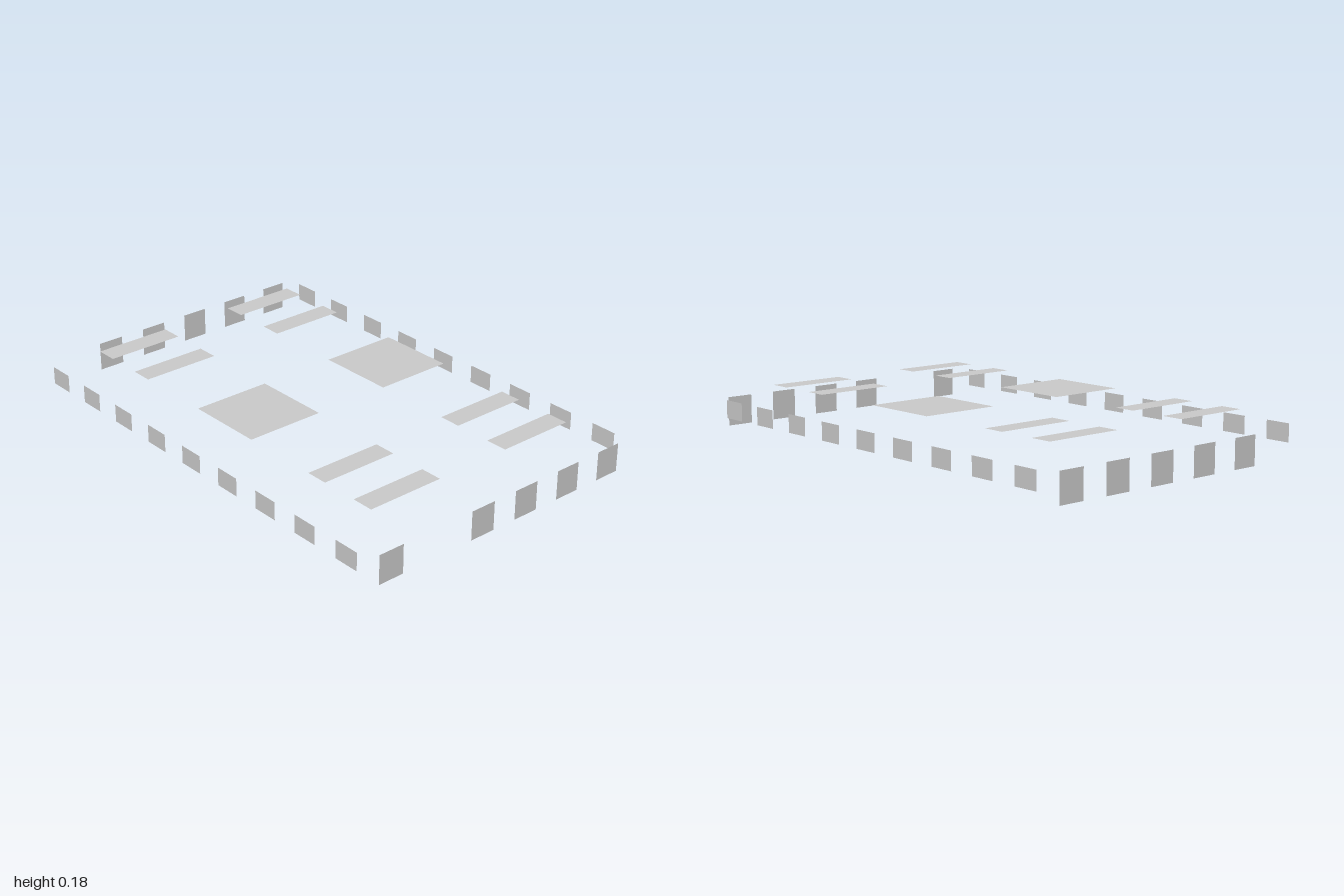
import * as THREE from 'three';

export function createModel() {
  const model = new THREE.Group();
  const grey = new THREE.MeshStandardMaterial({ color: 0xcccccc, side: THREE.DoubleSide });
  grey.name = 'lightGrey';

  // A flat pane, turned to face sideways or upwards
  function addPane(name, w, h, x, y, z, rotX = 0, rotY = 0) {
    const pane = new THREE.Mesh(new THREE.PlaneGeometry(w, h), grey);
    pane.name = name;
    pane.position.set(x, y, z);
    pane.rotation.set(rotX, rotY, 0);
    model.add(pane);
  }

  // Rows of nine windows along the front and back
  for (let i = -4; i <= 4; i++) {
    addPane('frontWindow', 0.11, 0.075, i * 0.221, 0.083, 0.656);
    addPane('backWindow', 0.11, 0.075, i * 0.221, 0.083, -0.656, 0, Math.PI);
  }

  // Taller openings on both ends, each end with one gap
  const endZ = [-0.552, -0.331, -0.11, 0.11, 0.331, 0.552];
  endZ.forEach((z, i) => {
    if (i !== 4) addPane('leftOpening', 0.112, 0.12, 1, 0.06, z, 0, Math.PI / 2);
    if (i !== 5) addPane('rightOpening', 0.112, 0.12, -1, 0.06, z, 0, -Math.PI / 2);
  });

  // Skylights: a square one in the middle and two narrow ones on each side
  for (const z of [-0.331, 0.331]) {
    addPane('squareSkylight', 0.33, 0.33, 0, 0.18, z, -Math.PI / 2);
    for (const x of [-0.786, -0.54, 0.54, 0.786]) {
      addPane('narrowSkylight', 0.092, 0.33, x, 0.18, z, -Math.PI / 2);
    }
  }
  return model;
}
